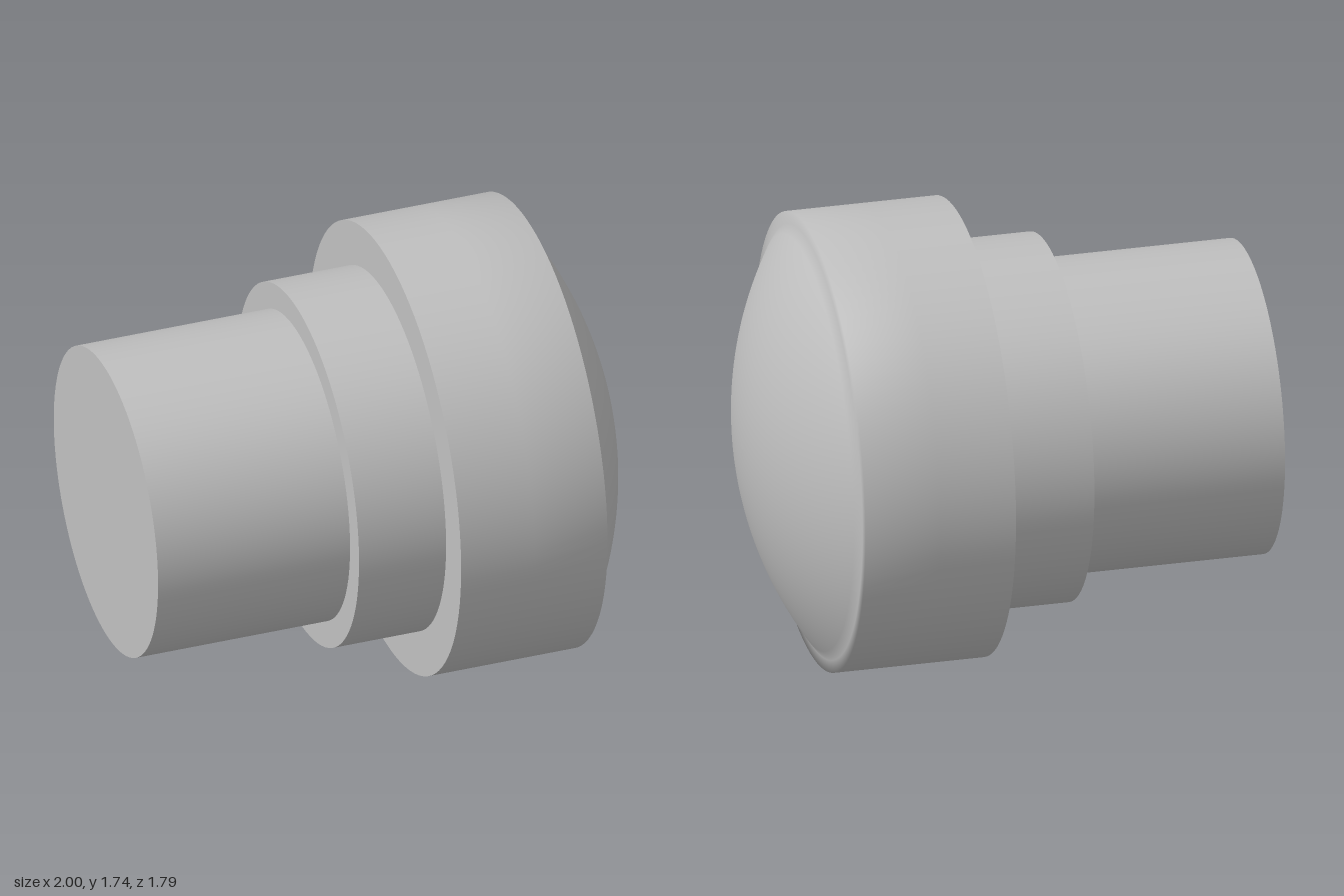
import * as THREE from 'three';

const SEG = 96;
const grey = new THREE.MeshStandardMaterial({ color: 0xbfbfbf });
grey.name = 'plain grey';

// Revolve a profile of [radius, distance along axis], axis laid along +x
function turned(name, profile) {
  const points = profile.map(([r, s]) => new THREE.Vector2(r, s));
  const mesh = new THREE.Mesh(new THREE.LatheGeometry(points, SEG).rotateZ(-Math.PI / 2), grey);
  mesh.name = name;
  return mesh;
}

// Closed cylinder with crisp ends between two distances along the axis
function drum(name, radius, from, to) {
  const geometry = new THREE.CylinderGeometry(radius, radius, to - from, SEG);
  geometry.rotateZ(-Math.PI / 2).translate((from + to) / 2, 0, 0);
  const mesh = new THREE.Mesh(geometry, grey);
  mesh.name = name;
  return mesh;
}

export function createModel() {
  const model = new THREE.Group();
  model.name = 'steppedKnob';

  // Distances are measured along the axis from the front rim of the head
  model.add(drum('shank', 0.597, -1.691, -0.92));
  model.add(drum('collar', 0.70, -0.928, -0.575));
  model.add(turned('headBack', [[0, -0.582], [0.872, -0.582]]));

  // Head side, narrow rim and shallow spherical dome, softly shaded together
  const domeRadius = 1.436, domeCentre = -1.175;
  const edgeAngle = Math.asin(0.825 / domeRadius);
  const profile = [[0.872, -0.582], [0.872, -0.29], [0.872, 0]];
  for (let i = 0; i <= 20; i++) {
    const a = edgeAngle * (1 - i / 20);
    profile.push([domeRadius * Math.sin(a), domeCentre + domeRadius * Math.cos(a)]);
  }
  model.add(turned('domedHead', profile));

  // The axis is turned slightly towards the front
  model.rotation.y = -0.084;
  model.position.set(0.735, 0.873, 0.0225);
  const root = new THREE.Group();
  root.name = 'knob';
  root.add(model);
  return root;
}
